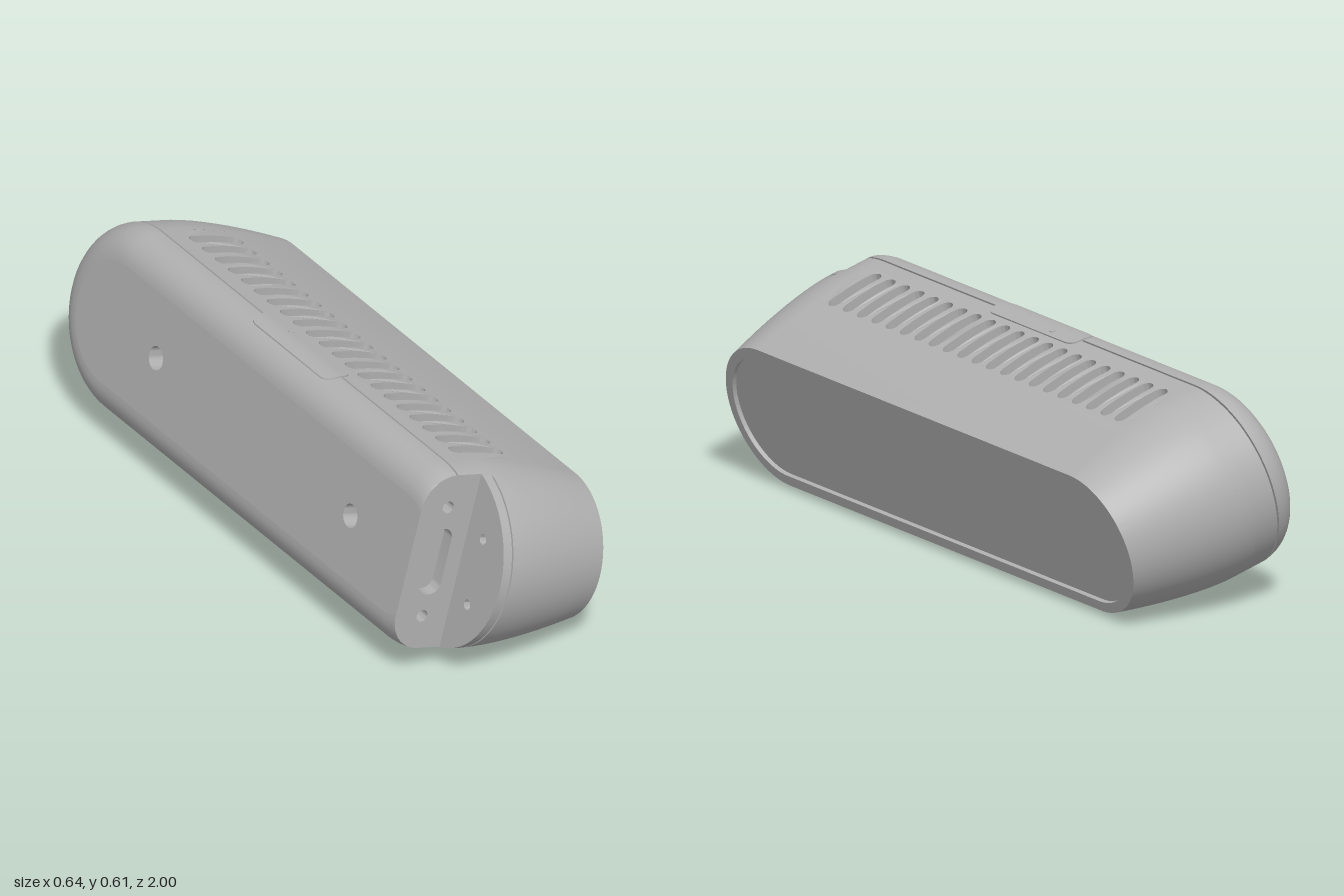
import * as THREE from 'three';
import { toCreasedNormals } from 'three/addons/utils/BufferGeometryUtils.js';

const V = (x, y, z) => new THREE.Vector3(x, y, z);
const P = (a, b) => new THREE.Vector2(a, b);
const HALF = 0.725;      // half length of the straight run of the stadium section
const CUT = 0.8;         // end notch in the rear shell
const NOTCH_X = -0.182;  // rear plane of the front shell inside the notch
const BAND = [-0.215, -0.015]; // vented band
const N = 64;

// Section radius along the depth axis: rounded back edge, straight, then a soft taper
function radius(x) {
  if (x < -0.257) return 0.175 + Math.sqrt(Math.max(0, 0.01 - (x + 0.257) ** 2));
  return x < -0.15 ? 0.275 : 0.275 - 0.063 * ((x + 0.15) / 0.349) ** 1.5;
}

// Stadium cross-section, optionally cut flat at the notch or dipped for the end groove
function ring(x, r = radius(x), clamp = false, dip = 0) {
  const pts = [];
  for (let i = 0; i <= N; i++) {
    const a = Math.PI * (0.5 - i / N);
    const rr = Math.abs(Math.sin(a)) < 0.95 ? r - dip : r;
    const z = HALF + rr * Math.cos(a);
    pts.push(V(x, rr * Math.sin(a), clamp ? Math.min(z, CUT) : z));
  }
  for (let i = 0; i <= N; i++) {
    const a = Math.PI * (i / N - 0.5);
    pts.push(V(x, r * Math.sin(a), -HALF - r * Math.cos(a)));
  }
  return pts;
}

export function createModel() {
  const grey = new THREE.MeshStandardMaterial({ color: 0xb0b0b0, side: THREE.DoubleSide });
  grey.name = 'body grey';
  const body = new THREE.Group();
  body.name = 'tiltedBody';

  function addTriangles(name, pts) {
    let geo = new THREE.BufferGeometry().setFromPoints(pts);
    geo.computeVertexNormals();
    geo = toCreasedNormals(geo, 0.5);
    const mesh = new THREE.Mesh(geo, grey);
    mesh.name = name;
    body.add(mesh);
    return mesh;
  }

  // Skin a list of equally long rows of points
  function loft(name, rows, wrap, skip = () => false) {
    const out = [], n = rows[0].length;
    for (let i = 0; i + 1 < rows.length; i++) {
      for (let j = 0; j < (wrap ? n : n - 1); j++) {
        const k = (j + 1) % n;
        const a = rows[i][j], b = rows[i][k], c = rows[i + 1][k], d = rows[i + 1][j];
        if (!skip(a, b, c, d, j)) out.push(a, c, b, a, d, c);
      }
    }
    return addTriangles(name, out);
  }

  // Surface panel with recessed pockets; place(a, b, depth) puts it in space
  function panel(name, outline, pockets, place, rim = 0) {
    const out = [];
    const fill = (contour, holes, depth) => {
      const all = [contour, ...holes].flat();
      for (const f of THREE.ShapeUtils.triangulateShape(contour, holes))
        for (const i of f) out.push(place(all[i].x, all[i].y, depth));
    };
    const wall = (pts, depth) => pts.forEach((p, i) => {
      const q = pts[(i + 1) % pts.length];
      const a = place(p.x, p.y, 0), b = place(q.x, q.y, 0);
      const c = place(q.x, q.y, depth), d = place(p.x, p.y, depth);
      out.push(a, b, c, a, c, d);
    });
    fill(outline, pockets.map(h => h.pts), 0);
    if (rim) wall(outline, rim);
    for (const h of pockets) {
      if (!h.depth) continue;
      wall(h.pts, h.depth);
      fill(h.pts, [], h.depth);
    }
    return addTriangles(name, out);
  }

  // Split long edges so that panels can follow a curve
  const split = (pts, max = 0.04) => pts.flatMap((p, i) => {
    const q = pts[(i + 1) % pts.length];
    const n = Math.max(1, Math.ceil(p.distanceTo(q) / max));
    return Array.from({ length: n }, (_, k) => p.clone().lerp(q, k / n));
  });

  function roundRect(cx, cy, hw, hh, r, n = 8) {
    const pts = [];
    [[1, 1], [-1, 1], [-1, -1], [1, -1]].forEach(([sx, sy], q) => {
      for (let i = 0; i <= n; i++) {
        const a = (q + i / n) * Math.PI / 2;
        const p = P(cx + sx * (hw - r) + r * Math.cos(a), cy + sy * (hh - r) + r * Math.sin(a));
        if (!pts.length || p.distanceTo(pts[pts.length - 1]) > 1e-5) pts.push(p);
      }
    });
    if (pts[0].distanceTo(pts[pts.length - 1]) < 1e-5) pts.pop();
    return pts;
  }
  const circle = (cx, cy, r) => roundRect(cx, cy, r, r, r, 7);
  const rect = (a0, a1, hb) => [P(a0, -hb), P(a1, -hb), P(a1, hb), P(a0, hb)];

  // Straight runs inside the vented band are left open for the vent panels
  const inBand = (a, c, j) => (j === N || j === 2 * N + 1) &&
    Math.min(a.x, c.x) > BAND[0] - 1e-6 && Math.max(a.x, c.x) < BAND[1] + 1e-6;

  // Rear shell with rounded edge, seam groove and end notch
  const backXs = [];
  for (let i = 0; i <= 10; i++) backXs.push(-0.257 - 0.1 * Math.cos(i / 10 * 1.49));
  const backRings = backXs.map(x => ring(x, radius(x), true));
  for (const [x, r] of [[-0.265, 0.275], [-0.265, 0.266], [-0.259, 0.266], [-0.259, 0.275],
    [BAND[0], 0.275], [NOTCH_X, 0.275]]) backRings.push(ring(x, r, true));
  loft('rearShell', backRings, true, (a, b, c, d, j) =>
    [a, b, c, d].every(p => p.z === CUT) || inBand(a, c, j));

  // Front shell with a fine groove round the notched end, front rim and inset step
  const frontRings = [ring(NOTCH_X), ring(-0.154), ring(-0.154, 0.275, false, 0.007),
    ring(-0.149, 0.275, false, 0.007), ring(-0.149)];
  for (const x of [-0.12, -0.085, -0.05, BAND[1], 0.02, 0.055, 0.09, 0.125, 0.16, 0.199])
    frontRings.push(ring(x));
  frontRings.push(ring(0.199, 0.182), ring(0.186, 0.182));
  loft('frontShell', frontRings, true, (a, b, c, d, j) => inBand(a, c, j));

  // Front and back faces
  const flat = (r, clamp) => ring(0, r, clamp).map(p => P(p.z, p.y))
    .filter((p, i, l) => !i || p.distanceTo(l[i - 1]) > 1e-6);
  panel('frontPanel', flat(0.182, false), [], (z, y) => V(0.186, y, z));
  panel('backFace', flat(0.175, true),
    [-0.5, 0.5].map(z => ({ pts: circle(z, 0, 0.034), depth: 0.05 })),
    (z, y, d) => V(-0.357 + d, y, z));

  // Notch: flat end wall with connector recess and pin holes, and the ledge behind the front shell
  const edge = [...backXs, NOTCH_X].map(x => P(x, Math.sqrt(radius(x) ** 2 - (CUT - HALF) ** 2)));
  panel('notchEndWall', [...edge, ...edge.map(p => P(p.x, -p.y)).reverse()], [
    { pts: roundRect(-0.266, 0, 0.036, 0.1, 0.032), depth: 0.04 },
    { pts: circle(-0.268, 0.166, 0.018), depth: 0.04 },
    { pts: circle(-0.268, -0.166, 0.018), depth: 0.04 },
  ], (x, y, d) => V(x, y, CUT - d));
  const lim = Math.acos((CUT - HALF) / 0.275), ledge = [];
  for (let i = 0; i <= 40; i++) {
    const a = lim * (i / 20 - 1);
    ledge.push(P(HALF + 0.275 * Math.cos(a), 0.275 * Math.sin(a)));
  }
  panel('notchLedge', ledge, [-0.1, 0.1].map(y => ({ pts: circle(0.875, y, 0.015), depth: 0.02 })),
    (z, y, d) => V(NOTCH_X + d, y, z));

  // Top vents: a row of stepped slots
  const slots = [];
  for (let i = -10; i <= 10; i++) {
    slots.push({ pts: split(roundRect(-0.115, i * 0.0667, 0.09, 0.021, 0.0209)), depth: 0.07 });
    const step = new THREE.Mesh(new THREE.BoxGeometry(0.09, 0.04, 0.043), grey);
    step.name = 'ventStep';
    step.position.set(-0.069, 0.22, i * 0.0667);
    body.add(step);
  }
  panel('topVents', split(rect(...BAND, HALF)), slots, (x, z, d) => V(x, radius(x) - d, z));

  // Underside with a window covered by the slotted foot
  panel('underside', split(rect(...BAND, HALF)), [{ pts: split(rect(-0.21, -0.02, 0.61)), depth: 0 }],
    (x, z) => V(x, -radius(x), z));
  const footHoles = [{ pts: circle(-0.125, 0, 0.08), depth: 0.02 }];
  for (let i = -9; i <= 9; i++)
    if (Math.abs(i) > 1)
      footHoles.push({ pts: roundRect(-0.125, i * 0.0667, 0.075, 0.018, 0.0179), depth: 0.04 });
  panel('foot', roundRect(-0.128, 0, 0.127, 0.64, 0.025), footHoles, (x, z, d) => V(x, -0.28 + d, z), 0.03);

  // Latch plate bridging the seam, following the rounded edge
  const latch = [], corner = 0.03;
  for (let i = 0; i <= 24; i++) {
    const x = -0.31 + 0.084 * i / 24;
    const over = Math.max(0, Math.abs(x + 0.268) - (0.042 - corner));
    const l = 0.2 - corner + Math.sqrt(Math.max(0, corner ** 2 - over ** 2));
    const y = radius(x) + 0.004;
    const row = h => [V(x, y - 0.015, -l), V(x, h, -l), V(x, h, l), V(x, y - 0.015, l)];
    if (i === 0) latch.push(row(y - 0.014));
    latch.push(row(y));
    if (i === 24) latch.push(row(y - 0.014));
  }
  loft('latchPlate', latch, false);
  const pin = new THREE.Mesh(new THREE.CylinderGeometry(0.01, 0.01, 0.012, 20), grey);
  pin.name = 'latchPin';
  pin.position.set(-0.25, 0.275, -0.08);
  body.add(pin);

  // Tilt the whole body on its foot
  const tilt = Math.PI / 12;
  body.rotation.z = -tilt;
  body.position.set(0.28 * Math.sin(tilt), 0.28 * Math.cos(tilt), 0);
  const model = new THREE.Group();
  model.name = 'model';
  model.add(body);
  return model;
}
